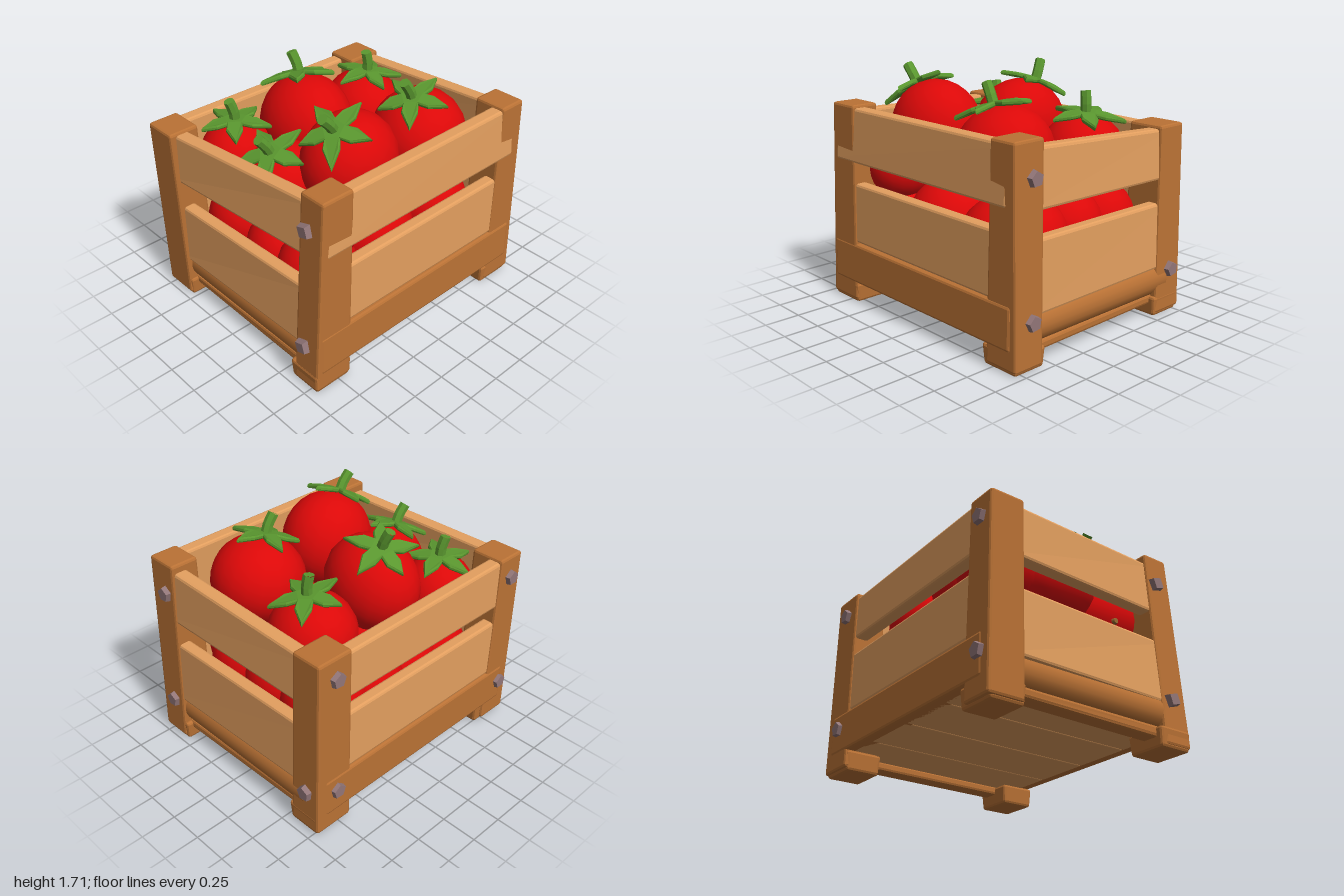
import * as THREE from 'three';
import { RoundedBoxGeometry } from 'three/addons/geometries/RoundedBoxGeometry.js';

const mat = (name, color, opts = {}) => {
  const m = new THREE.MeshStandardMaterial({ color, ...opts });
  m.name = name;
  return m;
};
const lerp = THREE.MathUtils.lerp;

export function createModel() {
  const root = new THREE.Group();
  root.name = 'tomatoCrate';
  const lightWood = mat('light wood', 0xe39f5f);
  const darkWood = mat('dark wood', 0xba7235);
  const iron = mat('bolt metal', 0x927678, { flatShading: true });
  const red = mat('tomato red', 0xdc0808);
  const green = mat('leaf green', 0x5a972f, { flatShading: true });
  const scar = mat('stem scar brown', 0x9a6a30);

  const add = (parent, name, geo, material) => {
    const m = new THREE.Mesh(geo, material);
    m.name = name;
    parent.add(m);
    return m;
  };

  // Bevelled box whose corners are moved by a rule on u, v, w in 0..1
  const warped = (name, material, size, rule) => {
    const geo = new RoundedBoxGeometry(...size, 1, 0.018);
    const p = geo.attributes.position;
    for (let i = 0; i < p.count; i++) {
      p.setXYZ(i, ...rule(p.getX(i) / size[0] + 0.5, p.getY(i) / size[1] + 0.5, p.getZ(i) / size[2] + 0.5));
    }
    geo.computeVertexNormals();
    return add(root, name, geo, material);
  };

  // Upright with a bottom and a top rectangle [x0, x1, z0, z1]
  const upright = (name, b, y0, t, y1) =>
    warped(name, darkWood, [b[1] - b[0], y1 - y0, b[3] - b[2]], (u, v, w) => [
      lerp(lerp(b[0], b[1], u), lerp(t[0], t[1], u), v),
      lerp(y0, y1, v),
      lerp(lerp(b[2], b[3], w), lerp(t[2], t[3], w), v),
    ]);

  // Board along x or z; each end is [position, y0, y1, outer face at bottom, outer face at top]
  const board = (name, material, axis, a, b, thick) => {
    const rule = (s, v, d) => [
      lerp(a[0], b[0], s),
      lerp(lerp(a[1], a[2], v), lerp(b[1], b[2], v), s),
      lerp(lerp(a[3], a[4], v), lerp(b[3], b[4], v), s) + (a[3] > 0 ? d - 1 : d) * thick,
    ];
    const len = b[0] - a[0], high = a[2] - a[1];
    if (axis === 'x') warped(name, material, [len, high, thick], rule);
    else warped(name, material, [thick, high, len], (u, v, w) => {
      const [along, y, across] = rule(w, v, u);
      return [across, y, along];
    });
  };

  // Corner posts
  upright('frontLeftPost', [0.6, 0.82, 0.66, 0.95], 0.02, [0.61, 0.81, 0.63, 0.87], 1.43);
  upright('frontRightPost', [-0.79, -0.53, 0.72, 0.965], 0.02, [-0.79, -0.54, 0.77, 0.99], 1.34);
  upright('backLeftPost', [0.58, 0.81, -0.97, -0.7], 0.02, [0.56, 0.8, -0.945, -0.74], 1.43);
  upright('backRightPost', [-0.79, -0.54, -0.95, -0.66], 0.02, [-0.79, -0.56, -0.92, -0.65], 1.33);

  // Feet
  for (const [x, z] of [[0.69, 0.8], [-0.645, 0.81], [0.68, -0.815], [-0.65, -0.8]]) {
    const b = [x - 0.12, x + 0.12, z - 0.14, z + 0.14];
    const t = [x - 0.13, x + 0.13, z - 0.15, z + 0.15];
    upright('foot', b, 0, t, 0.14);
  }

  // Front boards
  board('frontUpperSlat', lightWood, 'x', [-0.6, 0.96, 1.32, 0.955, 0.95], [0.68, 0.98, 1.37, 0.875, 0.85], 0.1);
  board('frontLowerSlat', lightWood, 'x', [-0.6, 0.31, 0.76, 0.95, 0.945], [0.68, 0.31, 0.76, 0.925, 0.895], 0.09);
  board('frontSill', darkWood, 'x', [-0.6, 0.085, 0.15, 0.9, 0.905], [0.68, 0.07, 0.15, 0.9, 0.9], 0.13);
  // Back boards
  board('backUpperSlat', lightWood, 'x', [-0.68, 0.96, 1.3, -0.915, -0.895], [0.68, 0.99, 1.38, -0.945, -0.93], 0.1);
  board('backLowerSlat', lightWood, 'x', [-0.68, 0.34, 0.8, -0.93, -0.915], [0.68, 0.34, 0.82, -0.955, -0.945], 0.09);
  board('backSill', darkWood, 'x', [-0.68, 0.085, 0.15, -0.9, -0.9], [0.68, 0.085, 0.15, -0.92, -0.92], 0.13);
  // Rounded rails under the front and back slats
  for (const [name, z] of [['frontRail', 0.825], ['backRail', -0.84]]) {
    const geo = new THREE.CylinderGeometry(1, 1, 1.3, 20).rotateZ(Math.PI / 2).scale(1, 0.125, 0.11);
    add(root, name, geo, darkWood).position.set(0, 0.255, z);
  }
  // Side boards
  board('leftUpperSlat', lightWood, 'z', [-0.88, 1.03, 1.41, 0.808, 0.79], [0.85, 1.03, 1.41, 0.818, 0.795], 0.1);
  board('leftLowerSlat', lightWood, 'z', [-0.82, 0.44, 0.88, 0.8, 0.795], [0.75, 0.45, 0.88, 0.805, 0.8], 0.09);
  board('leftRail', darkWood, 'z', [-0.92, 0.15, 0.44, 0.82, 0.815], [0.91, 0.15, 0.44, 0.825, 0.82], 0.13);
  board('rightUpperSlat', lightWood, 'z', [-0.75, 0.97, 1.3, -0.78, -0.775], [0.85, 0.97, 1.32, -0.78, -0.775], 0.1);
  board('rightLowerSlat', lightWood, 'z', [-0.75, 0.42, 0.85, -0.78, -0.78], [0.85, 0.42, 0.85, -0.78, -0.78], 0.09);
  board('rightRail', darkWood, 'z', [-0.88, 0.14, 0.42, -0.795, -0.795], [0.9, 0.14, 0.42, -0.795, -0.795], 0.13);

  // Floor planks
  for (let i = 0; i < 4; i++) {
    const plank = add(root, 'floorPlank', new RoundedBoxGeometry(1.46, 0.06, 0.425, 1, 0.01), lightWood);
    plank.position.set(0, 0.17, -0.645 + i * 0.43);
  }

  // Bolts: position and outward direction
  const up = new THREE.Vector3(0, 1, 0);
  [
    [0.675, 1.195, 0.895, 0, 1], [0.685, 0.33, 0.945, 0, 1],
    [0.65, 1.2, -0.955, 0, -1], [0.67, 0.32, -0.97, 0, -1],
    [-0.68, 0.32, -0.95, 0, -1],
    [-0.795, 1.18, -0.78, -1, 0], [-0.795, 0.31, -0.78, -1, 0],
    [-0.795, 1.18, 0.88, -1, 0], [-0.795, 0.3, 0.87, -1, 0],
  ].forEach(([x, y, z, dx, dz], i) => {
    const bolt = add(root, 'bolt', new THREE.CylinderGeometry(0.05, 0.063, 0.055, dz > 0 ? 4 : 5), iron);
    bolt.position.set(x, y, z);
    bolt.quaternion.setFromUnitVectors(up, new THREE.Vector3(dx, 0, dz));
    bolt.rotateY(dz > 0 ? 1.1 : i * 1.3);
  });

  // Five-pointed leafy star, drooping slightly toward the tips
  const star = new THREE.Shape();
  for (let i = 0; i < 5; i++) {
    const a = (i / 5) * Math.PI * 2;
    const reach = 0.245 + 0.02 * Math.sin(i * 2.4);
    const pts = [[0.075, -Math.PI / 5], [0.145, -0.33], [reach, 0.04], [0.145, 0.33]];
    pts.forEach(([r, da], k) => {
      const x = r * Math.cos(a + da), y = r * Math.sin(a + da);
      if (i + k === 0) star.moveTo(x, y);
      else star.lineTo(x, y);
    });
  }
  star.closePath();
  const leafGeo = new THREE.ExtrudeGeometry(star, {
    depth: 0.014, bevelEnabled: true, bevelThickness: 0.01, bevelSize: 0.008, bevelSegments: 1,
  });
  leafGeo.rotateX(-Math.PI / 2);
  const lp = leafGeo.attributes.position;
  for (let i = 0; i < lp.count; i++) {
    const r = Math.hypot(lp.getX(i), lp.getZ(i));
    lp.setY(i, lp.getY(i) - 0.5 * r * r);
  }
  leafGeo.computeVertexNormals();

  const bend = new THREE.CatmullRomCurve3([
    new THREE.Vector3(0, -0.02, 0), new THREE.Vector3(0, 0.07, 0.008), new THREE.Vector3(-0.01, 0.15, 0.03),
  ]);
  const stemGeo = new THREE.TubeGeometry(bend, 4, 0.037, 7);
  const capGeo = new THREE.CircleGeometry(0.037, 7).rotateX(0.27 - Math.PI / 2).translate(-0.01, 0.149, 0.03);
  const ball = new THREE.SphereGeometry(1, 20, 14);

  // Tomatoes: centre, radii, axis tilt in x and z, spin of the leaves in degrees
  const tomato = (x, y, z, [rx, ry, rz], tx = 0, tz = 0, spin = null) => {
    const g = new THREE.Group();
    g.name = 'tomato';
    g.position.set(x, y, z);
    g.quaternion.setFromUnitVectors(up, new THREE.Vector3(tx, 1, tz).normalize());
    add(g, 'fruit', ball, red).scale.set(rx, ry, rz);
    if (spin !== null) {
      const top = new THREE.Group();
      top.name = 'calyx';
      top.position.y = ry;
      add(top, 'leaves', leafGeo, green).rotation.y = THREE.MathUtils.degToRad(spin);
      add(top, 'stem', stemGeo, green);
      add(top, 'stemEnd', capGeo, green);
      g.add(top);
    }
    root.add(g);
  };
  // Top layer
  tomato(-0.27, 1.12, -0.485, [0.3, 0.28, 0.29], 0.03, -0.12, 54);
  tomato(0.36, 1.21, -0.395, [0.325, 0.31, 0.33], 0.04, 0.3, 90);
  tomato(-0.24, 1.24, 0.085, [0.35, 0.33, 0.3], -0.36, -0.12, 27);
  tomato(0.375, 1.27, 0.26, [0.3, 0.34, 0.34], 0.12, 0.55, 90);
  tomato(-0.43, 1.08, 0.54, [0.25, 0.25, 0.265], -0.03, 0.0, 105);
  tomato(0.06, 1.11, 0.55, [0.265, 0.26, 0.27], 0.04, 0.42, 85);
  // Fruit behind the front gap, then the lower layer
  tomato(0.45, 0.97, 0.56, [0.25, 0.24, 0.23]);
  for (const [x, y, z, r] of [
    [-0.38, 0.66, -0.5, 0.29], [-0.4, 0.66, -0.16, 0.28], [-0.4, 0.62, 0.2, 0.27], [-0.38, 0.6, 0.52, 0.28],
    [-0.04, 0.68, -0.52, 0.28], [0.08, 0.68, -0.1, 0.27], [0, 0.62, 0.25, 0.27], [0.05, 0.58, 0.55, 0.26],
    [0.3, 0.67, -0.52, 0.29], [0.43, 0.68, -0.45, 0.28], [0.4, 0.68, 0.09, 0.3], [0.4, 0.6, 0.56, 0.27],
  ]) tomato(x, y, z, [r, r * 0.95, r]);

  // Stem scar on the fruit lying behind the front gap
  const mark = add(root, 'stemScar', new THREE.CylinderGeometry(0.02, 0.026, 0.02, 6), scar);
  mark.position.set(0.39, 0.88, 0.77);
  mark.rotation.x = Math.PI / 2;

  return root;
}
